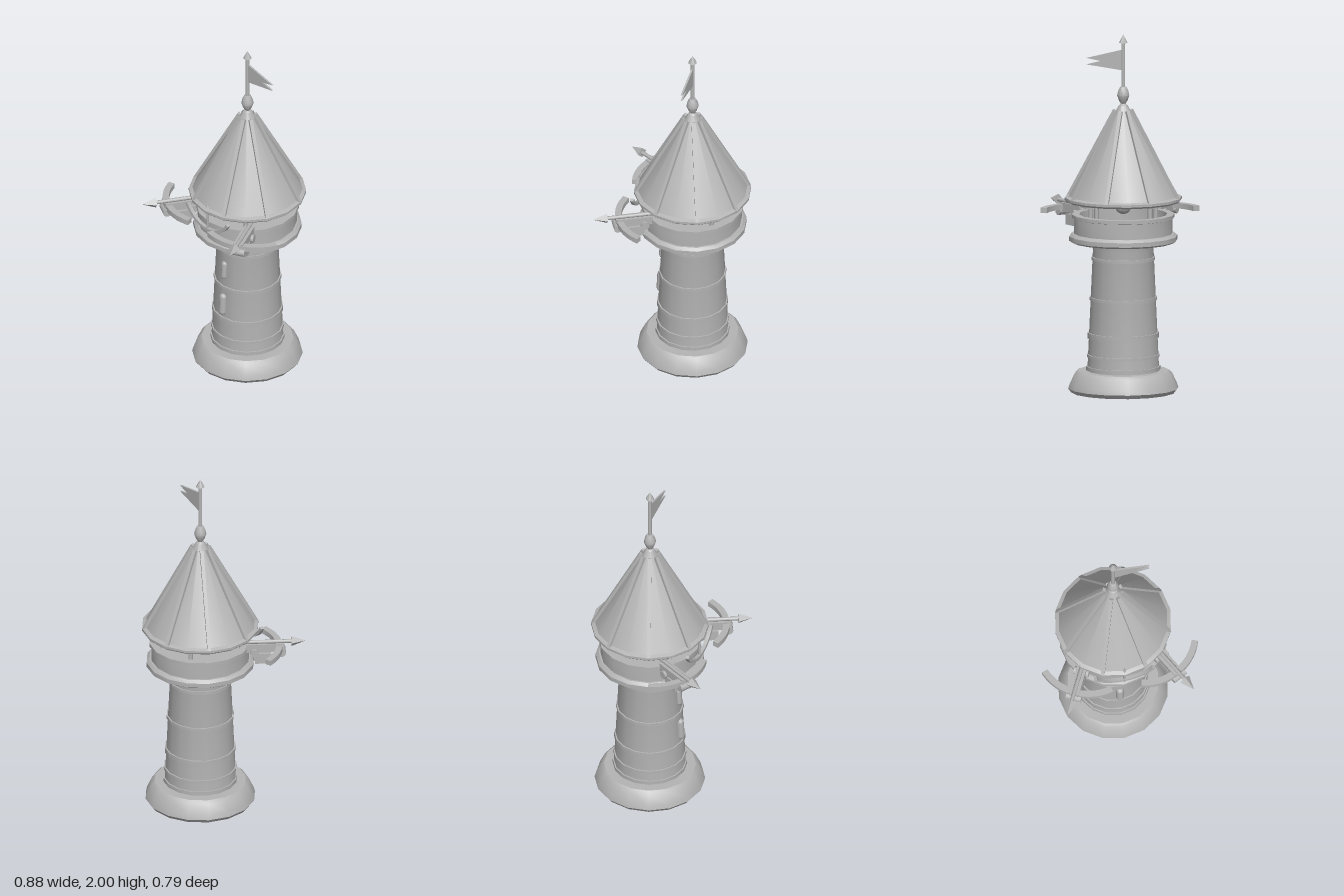
import * as THREE from 'three';
import { toCreasedNormals } from 'three/addons/utils/BufferGeometryUtils.js';

const stone = new THREE.MeshStandardMaterial({ color: 0xb4b4b4 });
stone.name = 'grey stone';
const SIDES = 16;

function add(parent, name, geo, x = 0, y = 0, z = 0) {
  const mesh = new THREE.Mesh(geo, stone);
  mesh.name = name;
  mesh.position.set(x, y, z);
  parent.add(mesh);
  return mesh;
}

// Turned part from [radius, height] pairs, hard edges kept sharp
function turned(parent, name, profile, sides = SIDES) {
  const geo = new THREE.LatheGeometry(profile.map(p => new THREE.Vector2(p[0], p[1])), sides);
  return add(parent, name, toCreasedNormals(geo, 0.6));
}

// Curved bow limb: apex at the origin, ends falling away towards -y
function bowGeometry(R, half, width, depth) {
  const shape = new THREE.Shape();
  const a = Math.PI / 2;
  shape.absarc(0, -R, R + width / 2, a - half, a + half, false);
  shape.absarc(0, -R, R - width / 2, a + half, a - half, true);
  const geo = new THREE.ExtrudeGeometry(shape, { depth, bevelEnabled: false, curveSegments: 10 });
  return geo.translate(0, 0, -depth / 2);
}

// Bolt along +z with its point at z = tip
function bolt(parent, tip, length, headLength, headRadius, shaftRadius) {
  const g = new THREE.Group();
  g.name = 'bolt';
  const shaft = new THREE.CylinderGeometry(shaftRadius, shaftRadius, length - headLength, 8).rotateX(Math.PI / 2);
  add(g, 'boltShaft', shaft, 0, 0, tip - headLength - (length - headLength) / 2);
  const head = toCreasedNormals(new THREE.ConeGeometry(headRadius, headLength, 4), 0.3);
  add(g, 'boltHead', head.rotateX(Math.PI / 2), 0, 0, tip - headLength / 2);
  parent.add(g);
  return g;
}

// Siege crossbow on the parapet, origin at the bow's apex
function ballista(side) {
  const g = new THREE.Group();
  g.name = side > 0 ? 'leftBallista' : 'rightBallista';
  g.position.set(side * 0.29, 0.995, 0.265);
  g.rotation.y = side * 0.49;
  add(g, 'bow', bowGeometry(0.287, 0.74, 0.036, 0.03).rotateX(Math.PI / 2));
  add(g, 'stock', new THREE.BoxGeometry(0.055, 0.03, 0.21), 0, -0.01, -0.085);
  for (const s of [-1, 1]) add(g, 'rail', new THREE.BoxGeometry(0.013, 0.02, 0.2), s * 0.021, 0.013, -0.085);
  bolt(g, 0.148, 0.36, 0.08, 0.032, 0.011).position.y = 0.028;
  const axle = new THREE.CylinderGeometry(0.024, 0.024, 0.085, 10).rotateZ(Math.PI / 2);
  add(g, 'frontRoller', axle, 0, -0.025, 0.012);
  add(g, 'rearRoller', axle, 0, -0.025, -0.14);
  add(g, 'bracket', new THREE.BoxGeometry(0.055, 0.06, 0.09), 0, -0.065, -0.09);
  return g;
}

export function createModel() {
  const model = new THREE.Group();
  model.name = 'watchtower';
  const tower = new THREE.Group();
  tower.name = 'tower';
  tower.position.z = -0.07;
  model.add(tower);

  // Foot and tapering shaft
  turned(tower, 'foot', [[0, 0], [0.29, 0], [0.307, 0.022], [0.3, 0.045], [0.272, 0.105], [0.255, 0.12], [0, 0.12]]);
  const radiusAt = y => 0.2 - 0.033 * (y - 0.12) / 0.72;
  turned(tower, 'shaft', [[radiusAt(0.11), 0.11], [radiusAt(0.8), 0.8], [0.18, 0.85]]);
  for (const [y, h] of [[0.135, 0.022], [0.205, 0.016], [0.318, 0.032], [0.525, 0.018], [0.75, 0.018]]) {
    const r = radiusAt(y);
    turned(tower, 'band', [[r - 0.01, y - h / 2], [r + 0.007, y - h / 2], [r + 0.007, y + h / 2], [r - 0.01, y + h / 2]]);
  }

  // Raised arrow slits on the front
  for (const [y, w, h] of [[0.635, 0.036, 0.11], [0.415, 0.044, 0.135]]) {
    const slit = new THREE.CapsuleGeometry(w / 2, h - w, 4, 10);
    add(tower, 'arrowSlit', slit, 0, y, radiusAt(y) - 0.002).rotation.x = -0.045;
  }

  // Gallery with a hollow parapet
  turned(tower, 'galleryFloor', [[0.16, 0.84], [0.285, 0.84], [0.301, 0.85], [0.301, 0.875], [0.285, 0.89], [0, 0.89]]);
  turned(tower, 'parapet', [[0.275, 0.885], [0.275, 0.975], [0.286, 0.978], [0.286, 0.997], [0.245, 0.997], [0.245, 0.885]]);
  for (let i = 0; i < 4; i++) {
    const a = Math.PI / 4 + i * Math.PI / 2;
    add(tower, 'roofPost', new THREE.CylinderGeometry(0.013, 0.013, 0.2, 8),
      0.233 * Math.cos(a), 0.985, 0.233 * Math.sin(a));
  }
  add(tower, 'lantern', new THREE.SphereGeometry(0.045, 16, 10), 0, 1.04, 0);

  // Conical roof with eave and ribs
  turned(tower, 'eave', [[0, 1.068], [0.315, 1.068], [0.326, 1.078], [0.326, 1.092], [0.305, 1.1]]);
  turned(tower, 'roof', [[0.31, 1.09], [0.025, 1.605], [0, 1.61]]);
  for (let i = 0; i < 8; i++) {
    const rib = new THREE.Group();
    rib.name = 'roofRib';
    rib.rotation.y = (i + 0.5) * Math.PI / 4;
    add(rib, 'ribBeam', new THREE.BoxGeometry(0.02, 0.555, 0.02), 0.181, 1.333, 0).rotation.z = 0.5;
    tower.add(rib);
  }

  // Finial, flagpole and pennant
  turned(tower, 'finial', [[0.026, 1.59], [0.024, 1.605], [0.014, 1.615], [0.024, 1.632], [0.034, 1.66],
    [0.029, 1.685], [0.018, 1.708], [0, 1.712]], 12);
  add(tower, 'flagpole', new THREE.CylinderGeometry(0.011, 0.011, 0.27, 10), 0, 1.83, 0);
  turned(tower, 'poleTip', [[0, 1.95], [0.024, 1.955], [0.016, 1.972], [0, 2]], 8);
  const flag = new THREE.Shape([[0, 1.8], [0.205, 1.837], [0.125, 1.855], [0.205, 1.873], [0, 1.917]]
    .map(p => new THREE.Vector2(p[0], p[1])));
  add(tower, 'pennant', new THREE.ExtrudeGeometry(flag, { depth: 0.01, bevelEnabled: false }), 0, 0, -0.005);

  // Upright bow and bolt on the front of the gallery
  const emblem = new THREE.Group();
  emblem.name = 'frontBow';
  emblem.position.set(0, 0.96, 0.23);
  add(emblem, 'bow', bowGeometry(0.186, 1.09, 0.018, 0.02).rotateZ(Math.PI));
  bolt(emblem, 0.17, 0.2, 0.04, 0.018, 0.007).rotation.x = -Math.PI / 2;
  model.add(emblem);

  model.add(ballista(1), ballista(-1));
  return model;
}
